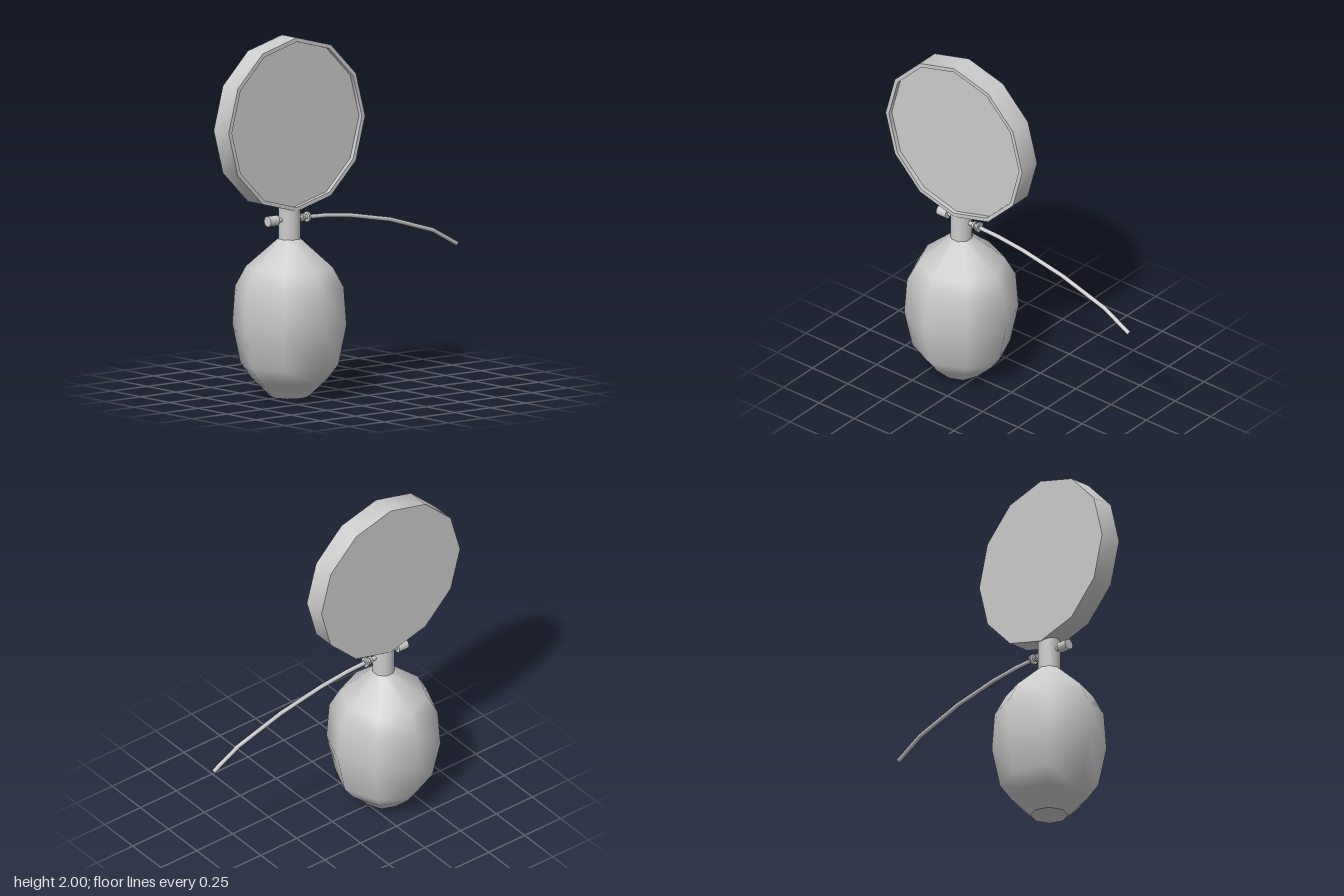
import * as THREE from 'three';
import { toCreasedNormals } from 'three/addons/utils/BufferGeometryUtils.js';

const AXIS_X = -0.355; // vertical axis shared by bulb, neck and dial
const PIN_Y = 0.985;
const material = new THREE.MeshStandardMaterial({ color: 0xcccccc });

function add(parent, name, geometry, x = 0, y = 0, z = 0) {
  const mesh = new THREE.Mesh(geometry, material);
  mesh.name = name;
  mesh.position.set(x, y, z);
  parent.add(mesh);
  return mesh;
}

const lathe = (pairs, sides) =>
  new THREE.LatheGeometry(pairs.map(([r, y]) => new THREE.Vector2(r, y)), sides);

// Short cylinder lying along x between two positions
function pinPart(parent, name, x0, x1, radius, sides = 10) {
  const geometry = new THREE.CylinderGeometry(radius, radius, x1 - x0, sides).rotateZ(Math.PI / 2);
  return add(parent, name, geometry, (x0 + x1) / 2, PIN_Y, 0);
}

export function createModel() {
  const group = new THREE.Group();
  group.name = 'handPumpGauge';

  // Squeeze bulb: smooth eight-sided body with a flat base
  const bulb = [[0.105, 0], [0.21, 0.1], [0.27, 0.18], [0.315, 0.4], [0.3, 0.61], [0.24, 0.72], [0.06, 0.88]];
  add(group, 'bulb', lathe(bulb, 8), AXIS_X, 0, 0);
  add(group, 'bulbBase', new THREE.CircleGeometry(0.105, 8).rotateX(Math.PI / 2), AXIS_X, 0, 0);

  // Neck joining the bulb to the dial
  add(group, 'neck', new THREE.CylinderGeometry(0.061, 0.061, 0.18, 16), AXIS_X, 0.965, 0);

  // Dial case: twelve-sided drum with a thin rim around a recessed face
  const dial = [[0, -0.065], [0.483, -0.065], [0.483, 0.065], [0.46, 0.065], [0.46, 0.04], [0, 0.04]];
  const dialGeometry = toCreasedNormals(lathe(dial, 12), 0.6).rotateX(Math.PI / 2);
  add(group, 'dialCase', dialGeometry, AXIS_X, 1.517, 0);

  // Release valve on the right-hand side
  pinPart(group, 'valveStem', -0.45, -0.4, 0.012);
  pinPart(group, 'valveKnob', -0.51, -0.445, 0.03, 12);

  // Hose fitting on the left-hand side
  pinPart(group, 'hoseFitting', -0.31, -0.22, 0.013);
  pinPart(group, 'fittingCollar', -0.268, -0.255, 0.022);
  pinPart(group, 'fittingFlange', -0.235, -0.224, 0.03);

  // Drooping hose, with one ring at each control point
  const path = [[-0.24, 0.983], [-0.1, 0.979], [0.08, 0.96], [0.36, 0.908], [0.66, 0.818], [0.83, 0.725]]
    .map(([x, y]) => new THREE.Vector3(x, y, 0));
  const curve = new THREE.CatmullRomCurve3(path);
  curve.getPointAt = curve.getPoint;
  curve.getTangentAt = curve.getTangent;
  add(group, 'hose', new THREE.TubeGeometry(curve, path.length - 1, 0.012, 8));
  const hoseEnd = add(group, 'hoseEnd', new THREE.CircleGeometry(0.012, 8), 0.83, 0.725, 0);
  hoseEnd.lookAt(path[5].clone().add(curve.getTangent(1)));

  return group;
}
